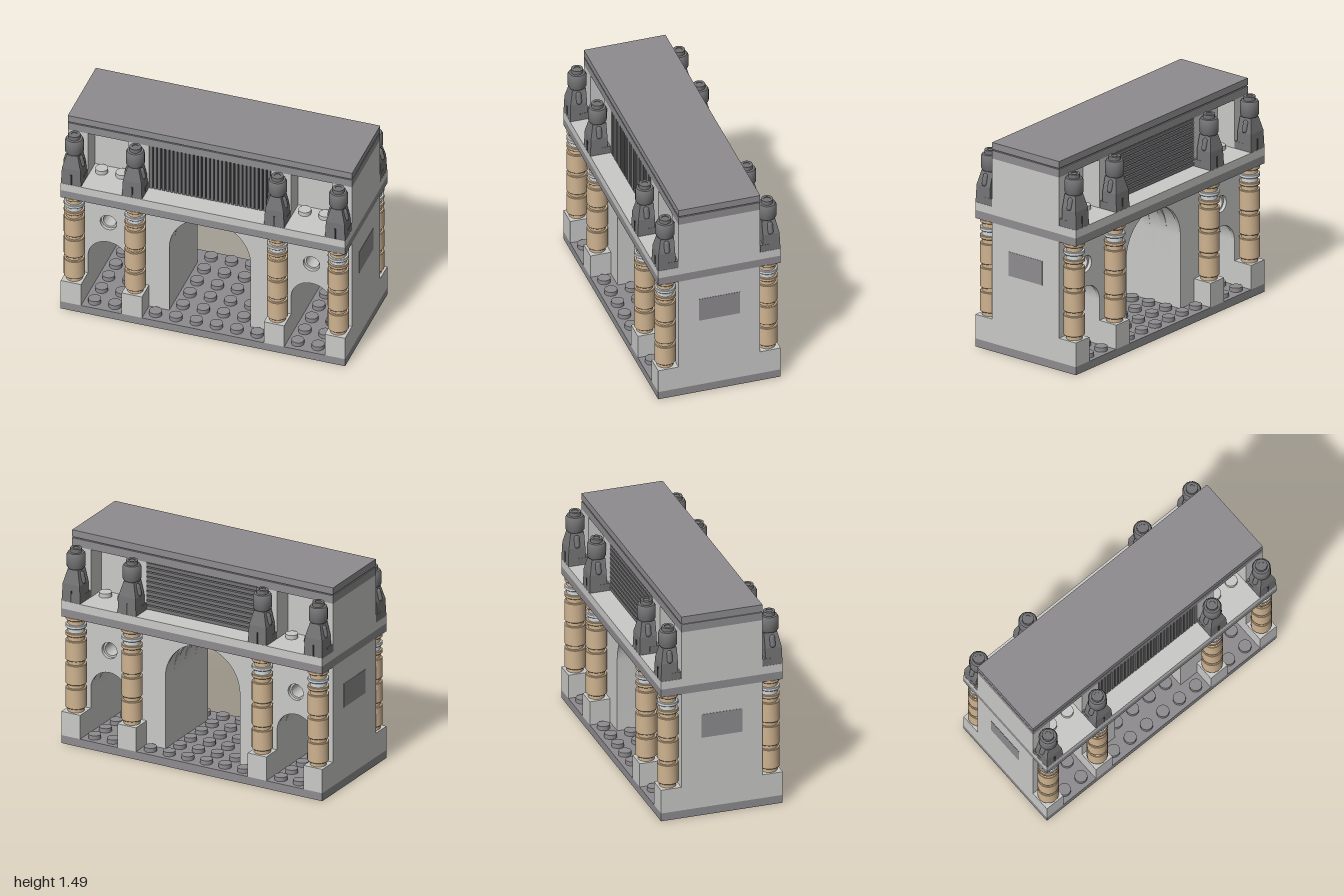
import * as THREE from 'three';
import { toCreasedNormals } from 'three/addons/utils/BufferGeometryUtils.js';

const S = 1 / 7;          // stud pitch
const P = S * 0.4;        // plate height
const B = S * 1.2;        // brick height
const FRONT = 2 * S;      // half depth of the wall
const EDGE = 3 * S;       // half depth of the base

const mat = (name, color) => Object.assign(new THREE.MeshStandardMaterial({ color }), { name });

export function createModel() {
  const light = mat('light grey', 0xc9c9c8);
  const dark = mat('dark grey', 0x8e8c8f);
  const statueGrey = mat('statue grey', 0x747476);
  const tan = mat('tan', 0xcfb390);
  const silver = mat('pale silver', 0xd3d8da);
  const slotGrey = mat('slot grey', 0x4a4a4c);

  const model = new THREE.Group();
  model.name = 'triumphalArch';

  const group = (name, parent = model) => {
    const g = new THREE.Group();
    g.name = name;
    parent.add(g);
    return g;
  };
  const add = (parent, name, geo, material, x = 0, y = 0, z = 0) => {
    const m = new THREE.Mesh(geo, material);
    m.name = name;
    m.position.set(x, y, z);
    parent.add(m);
    return m;
  };
  // Box given by its limits on each axis
  const box = (parent, name, material, x0, x1, y0, y1, z0, z1) =>
    add(parent, name, new THREE.BoxGeometry(x1 - x0, y1 - y0, z1 - z0), material,
      (x0 + x1) / 2, (y0 + y1) / 2, (z0 + z1) / 2);
  const lathe = (pts, seg = 24) => toCreasedNormals(
    new THREE.LatheGeometry(pts.map(([r, y]) => new THREE.Vector2(r, y)), seg), 0.6);
  const tube = (ri, ro, h) => lathe([[ri, 0], [ro, 0], [ro, h], [ri, h], [ri, 0]], 20);

  const studGeo = new THREE.CylinderGeometry(0.043, 0.043, 0.03, 20);
  const stud = (parent, material, x, y, z) => add(parent, 'stud', studGeo, material, x, y + 0.015, z);

  // Base: seven hollow plates with tubes below
  const base = group('base');
  const tubeGeo = tube(0.043, 0.058, P - 0.01);
  const pinGeo = new THREE.CylinderGeometry(0.034, 0.034, 0.012, 16);
  const rim = 0.024;
  box(base, 'baseTop', dark, -1, 1, P - 0.02, P, -EDGE, EDGE);
  for (let i = 0; i < 7; i++) {
    const x0 = -1 + i * 2 * S, x1 = x0 + 2 * S;
    box(base, 'baseWall', dark, x0, x0 + rim, 0, P - 0.01, -EDGE, EDGE);
    box(base, 'baseWall', dark, x1 - rim, x1, 0, P - 0.01, -EDGE, EDGE);
    for (const s of [-1, 1])
      box(base, 'baseEdge', dark, x0, x1, 0, P - 0.01,
        Math.min(s * EDGE, s * (EDGE - rim)), Math.max(s * EDGE, s * (EDGE - rim)));
    for (let k = -2; k <= 2; k++) {
      add(base, 'baseTube', tubeGeo, dark, x0 + S, 0, k * S);
      add(base, 'basePin', pinGeo, dark, x0 + S, P - 0.026, k * S);
    }
  }
  // Studs in the passages and along the open edges
  for (let i = 0; i < 14; i++) for (let k = 0; k < 6; k++) {
    const x = (i - 6.5) * S, z = (k - 2.5) * S, ax = Math.abs(i - 6.5);
    const column = ax === 6.5 || ax === 3.5;
    const passage = ax < 2 || ax === 4.5 || ax === 5.5;
    if ((k === 0 || k === 5) ? !column : passage) stud(base, dark, x, P, z);
  }

  // Arched wall: rows of thin outer skins around cores with a raised vault
  const wallTop = 16 * P;
  const openings = [[-5 * S, S, 0.372], [0, 2 * S, 10 * P], [5 * S, S, 0.372]];
  const nicheY = 0.674;
  const wallShape = (raise, holeR) => {
    const s = new THREE.Shape();
    s.moveTo(-1, P);
    for (const [c, r, spring] of openings) {
      s.lineTo(c - r, P);
      s.lineTo(c - r, spring);
      s.absellipse(c, spring, r, r + raise, Math.PI, 0, true);
      s.lineTo(c + r, P);
    }
    s.lineTo(1, P);
    s.lineTo(1, wallTop);
    s.lineTo(-1, wallTop);
    s.closePath();
    if (holeR) for (const x of [-5 * S, 5 * S])
      s.holes.push(new THREE.Path().absarc(x, nicheY, holeR, 0, Math.PI * 2, true));
    return s;
  };
  const wall = group('archedWall');
  const slice = (z, depth, raise, holeR) => add(wall, 'wallSlice', toCreasedNormals(
    new THREE.ExtrudeGeometry(wallShape(raise, holeR), { depth, bevelEnabled: false, curveSegments: 24 }), 0.6),
    light, 0, 0, z);
  const skin = 0.025;
  for (let row = 0; row < 4; row++) {
    const z = -FRONT + row * S;
    const hole = row === 0 || row === 3 ? 0.045 : 0;
    slice(z, skin, 0, row === 0 ? 0.058 : hole);
    slice(z + skin, S - 2 * skin, 0.032, hole);
    slice(z + S - skin, skin, 0, row === 3 ? 0.058 : hole);
  }
  // Dark blocks behind the round niches, showing on the ends
  for (const s of [-1, 1])
    add(wall, 'darkEndBlock', new THREE.BoxGeometry(0.402, B, 2 * S + 0.002), dark,
      s * 0.801, 10 * P + B / 2, 0);

  // Column profile: each round piece has a narrow foot and a wide body
  const piece = (h, foot) => lathe([[0, 0], [0.056, 0], [0.056, foot], [0.068, foot], [0.0714, foot + 0.004],
    [0.0714, h - 0.004], [0.068, h], [0, h]]);
  const brickGeo = piece(B, 0.028), plateGeo = piece(P, 0.032);

  // Statue parts
  const headGeo = lathe([[0, 1.24], [0.042, 1.24], [0.042, 1.256], [0.055, 1.258], [0.063, 1.272],
    [0.063, 1.355], [0.055, 1.37], [0.04, 1.372], [0.04, 1.4], [0.022, 1.4], [0.022, 1.395], [0, 1.395]]);
  const taper = (w0, w1, h, back, f0, f1) => {
    const g = new THREE.BoxGeometry(1, h, 1), p = g.attributes.position;
    for (let i = 0; i < p.count; i++) {
      const top = p.getY(i) > 0;
      p.setX(i, p.getX(i) * (top ? w1 : w0));
      p.setZ(i, p.getZ(i) < 0 ? back : top ? f1 : f0);
    }
    g.computeVertexNormals();
    return g;
  };
  const skirtGeo = taper(0.141, 0.13, 0.125, -0.05, 0.071, 0.066);
  const chestGeo = taper(0.13, 0.078, 0.1, -0.05, 0.066, 0.045);
  const armGeo = new THREE.CapsuleGeometry(0.02, 0.05, 4, 10);

  const statue = (parent) => {
    const g = group('statue', parent);
    add(g, 'skirt', skirtGeo, statueGrey, 0, 1.0915, 0);
    add(g, 'chest', chestGeo, statueGrey, 0, 1.204, 0);
    box(g, 'foot', statueGrey, -0.07, 0.07, 1.029, 1.08, -0.07, 0);
    box(g, 'legSlot', slotGrey, -0.006, 0.006, 1.03, 1.11, 0.06, 0.0725);
    for (const s of [-1, 1]) {
      const arm = add(g, 'arm', armGeo, statueGrey, s * 0.05, 1.195, 0.005);
      arm.rotation.z = s * 0.25;
    }
    add(g, 'head', headGeo, statueGrey);
  };

  // Pedestal, column and statue at each of the eight positions
  for (const side of [1, -1]) for (const x of [-6.5, -3.5, 3.5, 6.5]) {
    const bay = group('columnBay');
    bay.position.set(x * S, 0, side * 2.5 * S);
    if (side < 0) bay.rotation.y = Math.PI;
    box(bay, 'pedestal', light, -S / 2, S / 2, P, 4 * P, -S / 2, S / 2);
    for (let i = 0; i < 3; i++) add(bay, 'columnDrum', brickGeo, tan, 0, 4 * P + i * B, 0);
    add(bay, 'columnCollar', plateGeo, tan, 0, 13 * P, 0);
    add(bay, 'columnRing', plateGeo, silver, 0, 14 * P, 0);
    add(bay, 'columnCapital', plateGeo, tan, 0, 15 * P, 0);
    statue(bay);
  }

  // Cornice: dark plate with hollow overhangs, then a light plate
  const cornice = group('cornice');
  const c0 = 16 * P, c1 = 17 * P, c2 = 18 * P;
  box(cornice, 'corniceTop', dark, -1, 1, c1 - 0.02, c1, -EDGE, EDGE);
  box(cornice, 'corniceCore', dark, -1, 1, c0, c1 - 0.01, -FRONT - 0.02, FRONT + 0.02);
  const dotGeo = tube(0.018, 0.03, P - 0.01);
  for (const s of [-1, 1]) {
    add(cornice, 'corniceLip', new THREE.BoxGeometry(2, P - 0.01, 0.02), dark, 0, c0 + (P - 0.01) / 2, s * (EDGE - 0.01));
    add(cornice, 'corniceEnd', new THREE.BoxGeometry(0.02, P - 0.01, 2 * EDGE), dark, s * 0.99, c0 + (P - 0.01) / 2, 0);
    for (let i = -6; i <= 6; i++) add(cornice, 'cornicePin', dotGeo, dark, i * S, c0, s * 2.5 * S);
  }
  box(cornice, 'ledge', light, -1, 1, c1, c2, -EDGE, EDGE);

  // Attic: end and inner piers around recessed bays
  const attic = group('attic');
  const a1 = 24 * P;
  box(attic, 'atticCore', light, -0.95, 0.95, c2, a1, -S, S);
  box(attic, 'grilleBack', slotGrey, -3 * S, 3 * S, c2, a1, -FRONT + 0.02, FRONT - 0.02);
  for (const s of [-1, 1]) {
    add(attic, 'endPier', new THREE.BoxGeometry(S, a1 - c2, 2 * FRONT), light, s * 6.5 * S, (c2 + a1) / 2, 0);
    add(attic, 'innerPier', new THREE.BoxGeometry(S, a1 - c2, 2 * FRONT), light, s * 3.5 * S, (c2 + a1) / 2, 0);
    for (const x of [4.5, 5.5]) for (const z of [-1.5, 1.5]) stud(attic, light, s * x * S, c2, z * S);
  }
  // Upright bars on the front, level slats on the back
  const bars = 30, slats = 10;
  const bw = 6 * S / bars, sh = (a1 - c2) / slats;
  for (let i = 0; i < bars; i++)
    add(attic, 'grilleBar', new THREE.BoxGeometry(bw * 0.72, a1 - c2, 0.024), statueGrey,
      -3 * S + (i + 0.5) * bw, (c2 + a1) / 2, FRONT - 0.012);
  for (let i = 0; i < slats; i++)
    add(attic, 'grilleSlat', new THREE.BoxGeometry(6 * S, sh * 0.72, 0.024), statueGrey,
      0, c2 + (i + 0.5) * sh, -FRONT + 0.012);

  // Roof: plate, shadow groove and tiles
  const roof = group('roof');
  const r1 = 25 * P, r2 = 26 * P;
  box(roof, 'roofPlate', dark, -1, 1, a1, r1, -FRONT, FRONT);
  box(roof, 'roofGroove', dark, -0.992, 0.992, r1, r1 + 0.008, -FRONT + 0.008, FRONT - 0.008);
  box(roof, 'roofTiles', dark, -1, 1, r1 + 0.008, r2, -FRONT, FRONT);

  return model;
}
